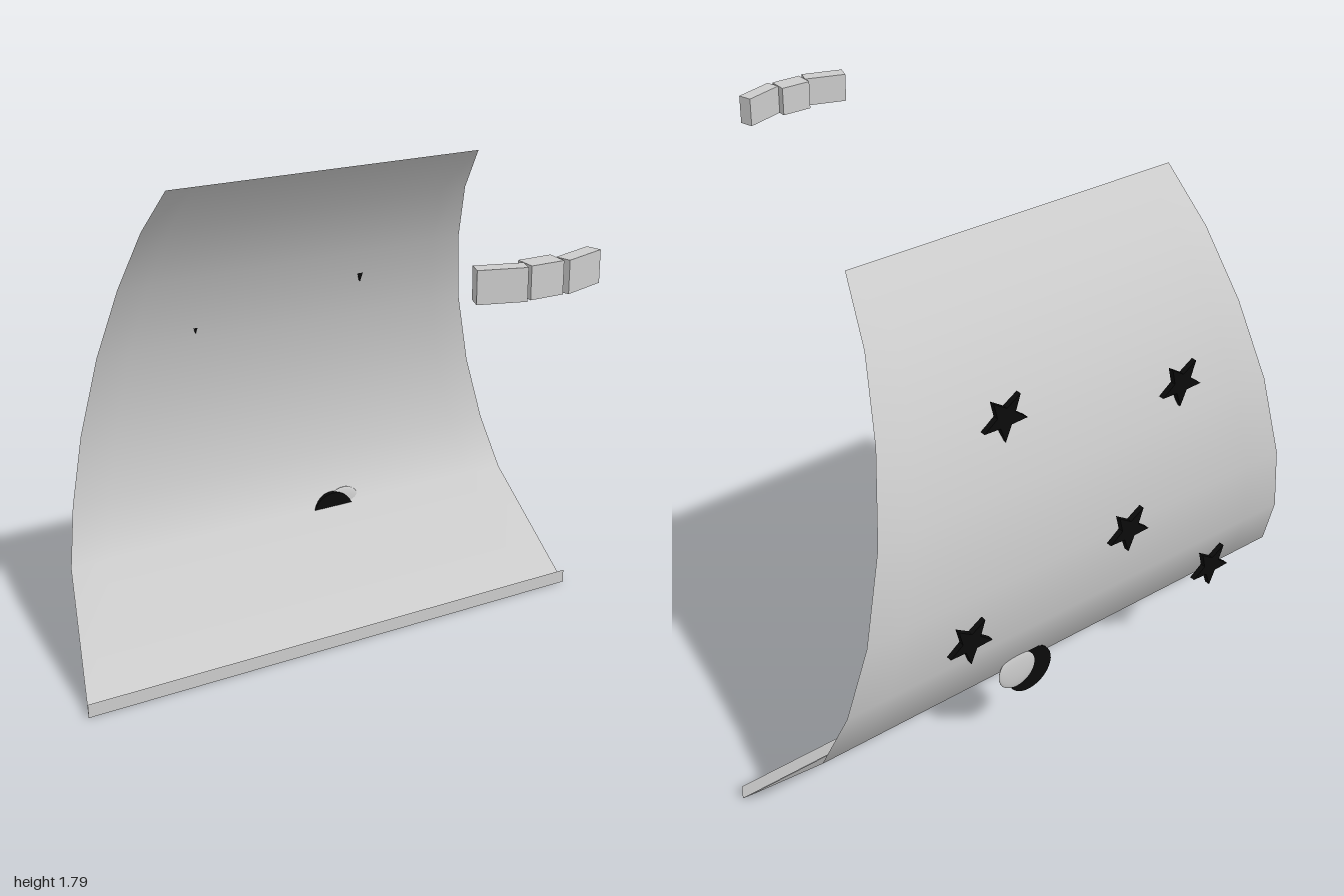
import * as THREE from 'three';

const grey = new THREE.MeshStandardMaterial({ color: 0xcccccc });
const sheet = new THREE.MeshStandardMaterial({ color: 0xcccccc, side: THREE.DoubleSide });
const black = new THREE.MeshStandardMaterial({ color: 0x0a0a0a });

function add(parent, name, geometry, material, x = 0, y = 0, z = 0) {
  const mesh = new THREE.Mesh(geometry, material);
  mesh.name = name;
  mesh.position.set(x, y, z);
  parent.add(mesh);
  return mesh;
}

// Curved cloth: rows of [y, z], tapering towards the shoulders
function capeGeometry() {
  const rows = [[0, -0.365], [0.395, -0.715], [0.6, -0.784], [0.85, -0.807],
    [1.14, -0.77], [1.4, -0.68], [1.62, -0.56], [1.785, -0.417]];
  const columns = 12;
  const geometry = new THREE.PlaneGeometry(2, 1, columns, rows.length - 1);
  const p = geometry.attributes.position;
  for (let i = 0; i < p.count; i++) {
    // Plane rows run from the top down
    const [y, z] = rows[rows.length - 1 - Math.floor(i / (columns + 1))];
    p.setXYZ(i, p.getX(i) * (1 - 0.2335 * y), y, z);
  }
  geometry.computeVertexNormals();
  return geometry;
}

// Five-pointed star with one point facing down
function starGeometry(radius, depth) {
  const points = [];
  for (let i = 0; i < 10; i++) {
    const r = i % 2 ? radius * 0.42 : radius;
    const a = -Math.PI / 2 + (i * Math.PI) / 5;
    points.push(new THREE.Vector2(r * Math.cos(a), r * Math.sin(a)));
  }
  return new THREE.ExtrudeGeometry(new THREE.Shape(points), { depth, bevelEnabled: false })
    .translate(0, 0, -depth / 2);
}

export function createModel() {
  const model = new THREE.Group();
  model.name = 'cape';

  add(model, 'capeCloth', capeGeometry(), sheet);
  add(model, 'hem', new THREE.PlaneGeometry(2, 0.053), sheet, 0, 0.0265, -0.364);

  // Stars on the back
  const stars = new THREE.Group();
  stars.name = 'stars';
  const star = starGeometry(0.08, 0.018);
  [[0.27, 1.36, -0.72], [-0.37, 1.255, -0.76], [-0.13, 0.86, -0.836],
    [0.465, 0.72, -0.834], [-0.58, 0.47, -0.777]]
    .forEach(([x, y, z]) => add(stars, 'star', star, black, x, y, z));
  model.add(stars);

  // Crescent moon: a dark disc partly covered by a flattened pale one
  const moon = new THREE.Group();
  moon.name = 'moon';
  const disc = new THREE.CylinderGeometry(0.085, 0.085, 0.018, 32).rotateX(Math.PI / 2);
  add(moon, 'moonDisc', disc, black, 0.145, 0.365, -0.723);
  const cover = new THREE.SphereGeometry(0.072, 32, 16).scale(1, 1, 0.16);
  add(moon, 'moonCover', cover, grey, 0.195, 0.388, -0.728);
  model.add(moon);

  // Collar clasp in front: a centre block with two angled wings
  const clasp = new THREE.Group();
  clasp.name = 'clasp';
  add(clasp, 'claspCentre', new THREE.BoxGeometry(0.105, 0.095, 0.065), grey, 0, 1.738, 0.802);
  for (const s of [-1, 1]) {
    const wing = add(clasp, s > 0 ? 'claspLeft' : 'claspRight',
      new THREE.BoxGeometry(0.141, 0.095, 0.047), grey, s * 0.127, 1.738, 0.797);
    wing.rotation.y = s * 0.31;
  }
  model.add(clasp);

  return model;
}
